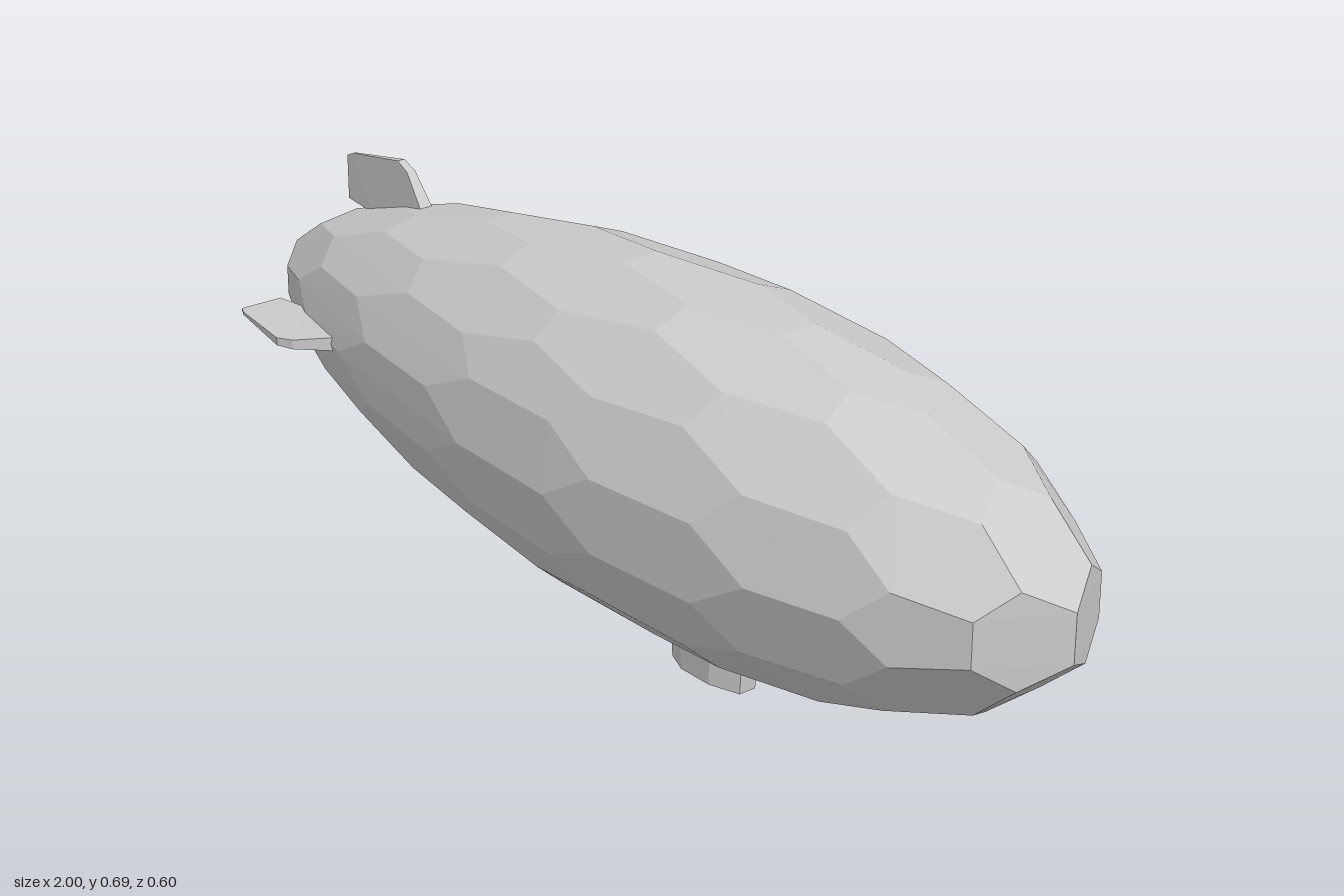
import * as THREE from 'three';
import { ConvexGeometry } from 'three/addons/geometries/ConvexGeometry.js';

const AXIS_Y = 0.395;
const material = new THREE.MeshStandardMaterial({ color: 0xcccccc, flatShading: true });

function addMesh(parent, name, geometry) {
  const mesh = new THREE.Mesh(geometry, material);
  mesh.name = name;
  parent.add(mesh);
  return mesh;
}

// Faceted envelope: panel corners at the face centres of a geodesic sphere,
// stretched along x and made fuller toward the nose.
function hullGeometry() {
  const ball = new THREE.IcosahedronGeometry(1, 2).getAttribute('position');
  const corners = [];
  for (let i = 0; i < ball.count; i += 3) {
    const p = new THREE.Vector3();
    for (let k = 0; k < 3; k++) p.add(new THREE.Vector3().fromBufferAttribute(ball, i + k));
    p.normalize();
    const radius = 0.3 * (0.99 + 0.17 * p.x);
    corners.push(p.set(p.x, p.y * radius, p.z * radius));
  }
  const reach = Math.max(...corners.map((p) => p.x));
  corners.forEach((p) => { p.x /= reach; });
  return new ConvexGeometry(corners);
}

// Fin outline in x and distance from the hull axis, thick in front and thin at the back
function finGeometry() {
  const outline = [[-0.85, 0.16], [-0.77, 0.155], [-0.72, 0.13], [-0.6, 0.15], [-0.6, 0.2],
    [-0.65, 0.265], [-0.68, 0.278], [-0.83, 0.252], [-0.85, 0.243]];
  const shape = new THREE.Shape(outline.map(([x, y]) => new THREE.Vector2(x, y)));
  const geometry = new THREE.ExtrudeGeometry(shape, { depth: 1, bevelEnabled: false });
  const pos = geometry.getAttribute('position');
  for (let i = 0; i < pos.count; i++) {
    const forward = (pos.getX(i) + 0.85) / 0.25;
    const outward = (pos.getY(i) - 0.13) / 0.15;
    const thickness = 0.004 + 0.028 * forward * (1 - 0.45 * outward);
    pos.setZ(i, (pos.getZ(i) - 0.5) * thickness);
  }
  geometry.computeVertexNormals();
  return geometry;
}

// Eight-sided cabin, tapered downward, with a shallow keel
function gondolaGeometry() {
  const geometry = new THREE.CylinderGeometry(1, 0.9, 0.13, 8, 1);
  geometry.rotateY(Math.PI / 8);
  geometry.scale(0.097 / Math.cos(Math.PI / 8), 1, 0.045 / Math.cos(Math.PI / 8));
  const pos = geometry.getAttribute('position');
  for (let i = 0; i < pos.count; i++) {
    if (pos.getY(i) < 0) pos.setY(i, -0.065 + 0.2 * Math.abs(pos.getZ(i)));
  }
  geometry.computeVertexNormals();
  return geometry;
}

export function createModel() {
  const airship = new THREE.Group();
  airship.name = 'airship';

  addMesh(airship, 'hull', hullGeometry()).position.y = AXIS_Y;

  const fin = finGeometry();
  ['topFin', 'rearSideFin', 'bottomFin', 'frontSideFin'].forEach((name, i) => {
    const mesh = addMesh(airship, name, fin);
    mesh.position.y = AXIS_Y;
    mesh.rotation.x = -i * Math.PI / 2;
  });

  addMesh(airship, 'gondola', gondolaGeometry()).position.set(0.195, 0.067, 0);

  return airship;
}
